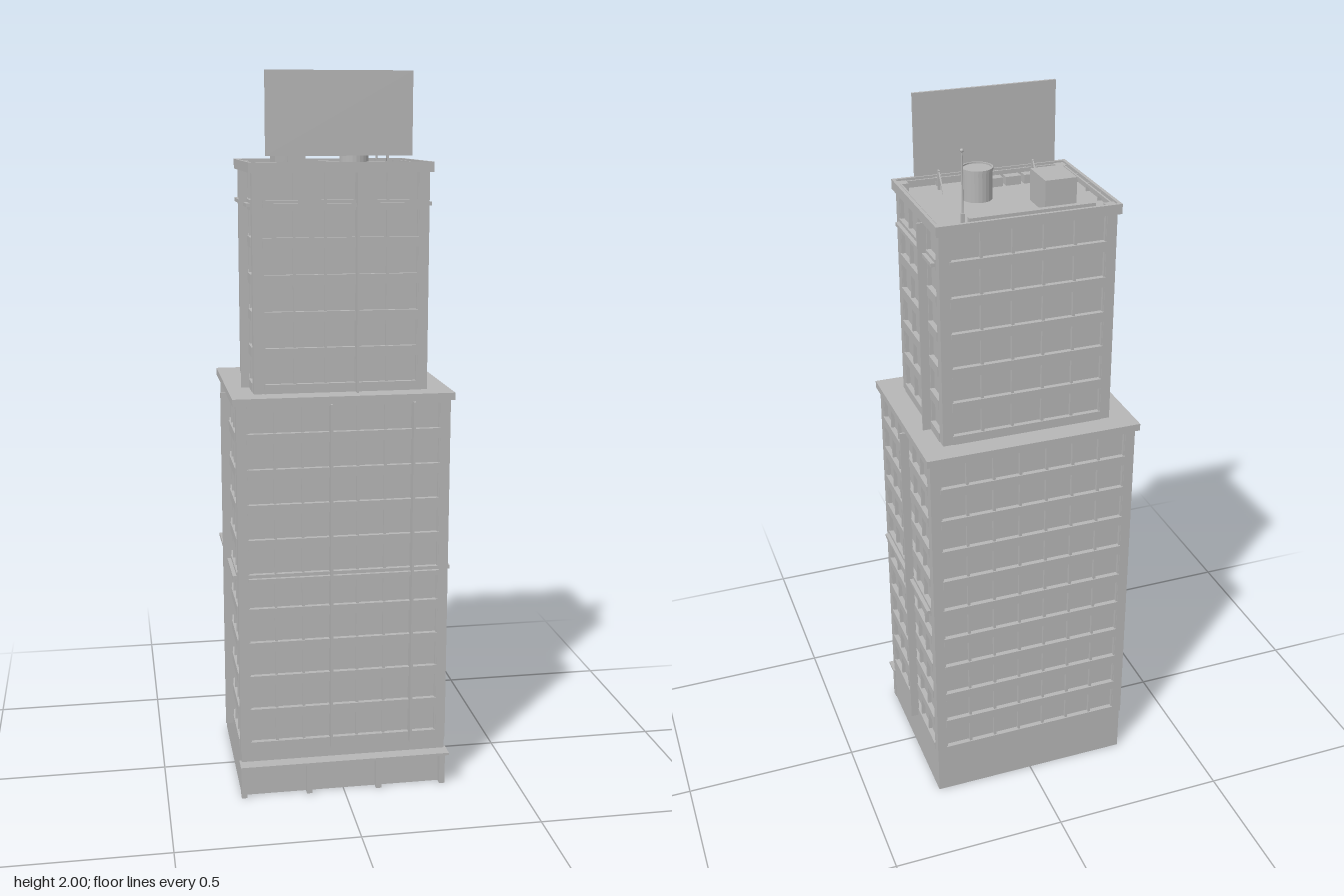
import * as THREE from 'three';

const concrete = new THREE.MeshStandardMaterial({ color: 0xb6b6b6 });
concrete.name = 'concrete grey';

function add(parent, name, geometry, x = 0, y = 0, z = 0) {
  const mesh = new THREE.Mesh(geometry, concrete);
  mesh.name = name;
  mesh.position.set(x, y, z);
  parent.add(mesh);
  return mesh;
}

// Box given by its lower and upper limits on each axis
function block(parent, name, x0, x1, y0, y1, z0, z1) {
  return add(parent, name, new THREE.BoxGeometry(x1 - x0, y1 - y0, z1 - z0),
    (x0 + x1) / 2, (y0 + y1) / 2, (z0 + z1) / 2);
}

// Rectangular frame lying flat, centred on the parent
function ring(parent, name, hx, hz, width, y0, y1) {
  const shape = new THREE.Shape([[-hx, -hz], [hx, -hz], [hx, hz], [-hx, hz]].map(p => new THREE.Vector2(...p)));
  const ix = hx - width, iz = hz - width;
  shape.holes.push(new THREE.Path([[-ix, -iz], [-ix, iz], [ix, iz], [ix, -iz]].map(p => new THREE.Vector2(...p))));
  const geometry = new THREE.ExtrudeGeometry(shape, { depth: y1 - y0, bevelEnabled: false });
  geometry.rotateX(-Math.PI / 2);
  return add(parent, name, geometry, 0, y0, 0);
}

const RECESS = 0.012;   // depth of the windows behind the corner columns
const COLUMN = 0.028;   // width of a corner column

// Window grid on one side; local +z points outwards and z = 0 is the column face
function facade(parent, name, half, cols, t, fins, ledge) {
  const side = new THREE.Group();
  side.name = name;
  parent.add(side);
  const pitch = 2 * half / cols;
  for (let r = 0; r <= t.rows; r++) {
    const low = r === 0 ? t.y0 : t.sill + (r - 1) * t.pitch + t.windowHeight;
    const high = r === t.rows ? t.y1 : t.sill + r * t.pitch;
    block(side, 'spandrel', -half, half, low, high, -RECESS, 0.002);
  }
  for (let c = 0; c <= cols; c++) {
    const x = -half + c * pitch;
    block(side, 'mullion', x - 0.0035, x + 0.0035, t.y0, t.y1, -RECESS, -0.002);
  }
  if (ledge) block(side, 'middleLedge', -half, half, t.ledgeY - 0.005, t.ledgeY + 0.005, 0, 0.0125);
  for (const x of fins) block(side, 'verticalFin', x - 0.003, x + 0.003, t.y0, t.y1, 0, 0.024);
  return side;
}

// One storeyed block: core, corner columns and four facades
function tower(parent, name, t) {
  const group = new THREE.Group();
  group.name = name;
  group.position.z = -0.015;
  parent.add(group);
  const { hx, hz } = t;
  block(group, 'core', -hx + RECESS, hx - RECESS, t.y0, t.y1, -hz + RECESS, hz - RECESS);
  for (const sx of [-1, 1]) for (const sz of [-1, 1]) {
    add(group, 'cornerColumn', new THREE.BoxGeometry(COLUMN, t.columnTop - t.y0, COLUMN),
      sx * (hx - COLUMN / 2), (t.y0 + t.columnTop) / 2, sz * (hz - COLUMN / 2));
  }
  const wx = hx - COLUMN, wz = hz - COLUMN;
  facade(group, 'frontFacade', wx, t.colsX, t, t.frontFins, true).position.z = hz;
  const back = facade(group, 'backFacade', wx, t.colsX, t, [], false);
  back.position.z = -hz;
  back.rotation.y = Math.PI;
  const left = facade(group, 'leftFacade', wz, t.colsZ, t, [t.sideFin], true);
  left.position.x = hx;
  left.rotation.y = Math.PI / 2;
  const right = facade(group, 'rightFacade', wz, t.colsZ, t, [t.sideFin], true);
  right.position.x = -hx;
  right.rotation.y = -Math.PI / 2;
  return group;
}

function groundFloor(parent) {
  const g = new THREE.Group();
  g.name = 'groundFloor';
  parent.add(g);
  block(g, 'base', -0.292, 0.292, 0, 0.14, -0.249, 0.212);
  block(g, 'fascia', -0.292, 0.292, 0.105, 0.14, 0.212, 0.224);
  block(g, 'awning', -0.298, 0.298, 0.1, 0.107, 0.212, 0.262);
  for (const x of [-0.286, -0.1, 0.1, 0.286]) block(g, 'shopPillar', x - 0.008, x + 0.008, 0, 0.1, 0.212, 0.233);
}

function roofTop(parent) {
  const g = new THREE.Group();
  g.name = 'roofEquipment';
  parent.add(g);
  const floor = 1.738;
  // Billboard on braced legs
  block(g, 'billboard', -0.198, 0.197, 1.78, 2, 0.131, 0.139);
  for (const x of [-0.134, 0.132]) {
    block(g, 'billboardLeg', x - 0.003, x + 0.003, floor, 1.79, 0.125, 0.132);
    const brace = add(g, 'billboardBrace', new THREE.BoxGeometry(0.004, 0.07, 0.004), x, 1.764, 0.109);
    brace.rotation.x = 0.67;
  }
  // Row of cooling units
  for (let i = 0; i < 4; i++) {
    const x = -0.193 + i * 0.052;
    block(g, 'coolingUnit', x, x + 0.043, floor, 1.762, 0.097, 0.122);
  }
  // Water tank with a raised rim
  const profile = [[0, 0], [0.04, 0], [0.04, 0.078], [0.042, 0.078], [0.042, 0.085], [0.038, 0.085], [0.038, 0.081], [0, 0.081]];
  const tankGeometry = new THREE.LatheGeometry(profile.map(p => new THREE.Vector2(...p)), 24).toNonIndexed();
  tankGeometry.computeVertexNormals();
  add(g, 'waterTank', tankGeometry, 0.058, floor, 0.031);
  // Stair housing with its door
  block(g, 'stairHousing', -0.152, -0.066, floor, 1.823, -0.136, -0.029);
  block(g, 'stairDoor', -0.124, -0.093, floor, 1.8, -0.029, -0.026);
  block(g, 'duct', -0.196, 0.145, floor, 1.758, -0.16, -0.145);
  // Antenna
  block(g, 'antennaFoot', 0.15, 0.159, floor, 1.765, -0.141, -0.132);
  add(g, 'antennaMast', new THREE.CylinderGeometry(0.0025, 0.0025, 0.185, 8), 0.1545, 1.8325, -0.1365);
  add(g, 'antennaTip', new THREE.SphereGeometry(0.005, 10, 8), 0.1545, 1.925, -0.1365);
}

export function createModel() {
  const model = new THREE.Group();
  model.name = 'officeTower';
  groundFloor(model);

  const lower = tower(model, 'lowerTower', {
    hx: 0.294, hz: 0.239, y0: 0.14, y1: 1.13, columnTop: 1.13, rows: 10, sill: 0.165, pitch: 0.0985,
    windowHeight: 0.071, colsX: 7, colsZ: 6, ledgeY: 0.643, frontFins: [-0.038, 0.189], sideFin: 0.042,
  });
  block(lower, 'terraceSlab', -0.304, 0.304, 1.13, 1.15, -0.249, 0.249);

  const upper = tower(model, 'upperTower', {
    hx: 0.239, hz: 0.185, y0: 1.15, y1: 1.738, columnTop: 1.76, rows: 6, sill: 1.175, pitch: 0.0983,
    windowHeight: 0.071, colsX: 5, colsZ: 4, ledgeY: 1.653, frontFins: [0.042], sideFin: 0.079,
  });
  // Parapet: outer rim, inner rail and small posts between them
  ring(upper, 'parapetRim', 0.248, 0.194, 0.009, 1.738, 1.765);
  ring(upper, 'parapetRail', 0.234, 0.18, 0.005, 1.752, 1.76);
  for (const s of [-1, 1]) {
    for (const x of [-0.127, -0.042, 0.042, 0.127])
      block(upper, 'parapetPost', x - 0.002, x + 0.002, 1.738, 1.76, s * 0.18 - 0.005, s * 0.18 + 0.005);
    for (const z of [-0.079, 0, 0.079])
      block(upper, 'parapetPost', s * 0.234 - 0.005, s * 0.234 + 0.005, 1.738, 1.76, z - 0.002, z + 0.002);
  }
  roofTop(model);
  return model;
}
